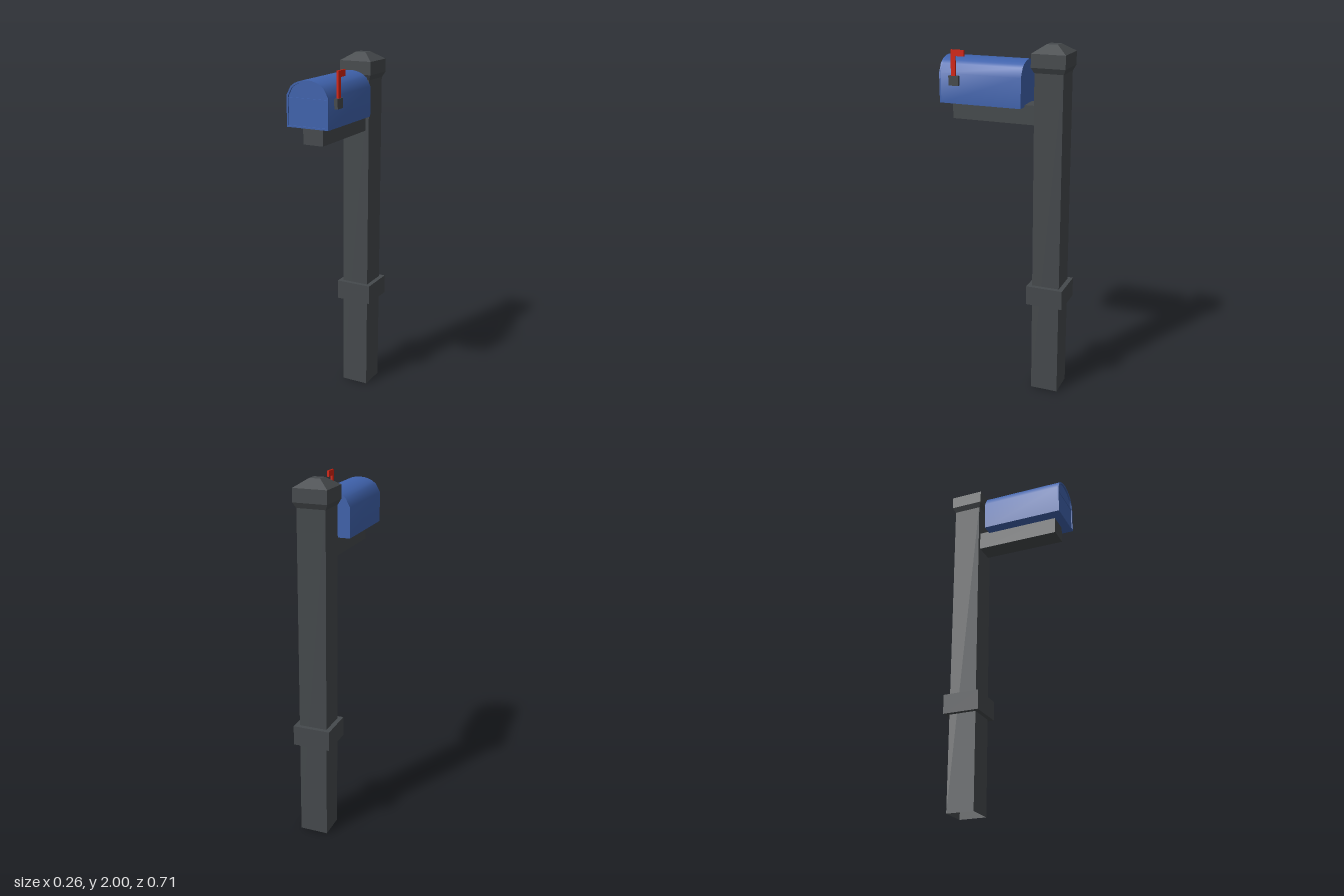
import * as THREE from 'three';
import { toCreasedNormals } from 'three/addons/utils/BufferGeometryUtils.js';

const POST_X = -0.008, POST_Z = -0.251, BOX_X = -0.011;

export function createModel() {
  const model = new THREE.Group();
  const charcoal = new THREE.MeshStandardMaterial({ color: 0x45494c, flatShading: true, side: THREE.DoubleSide });
  charcoal.name = 'charcoal';
  const blue = new THREE.MeshStandardMaterial({ color: 0x3f62ac });
  blue.name = 'blue';
  const red = new THREE.MeshStandardMaterial({ color: 0xd42310 });
  red.name = 'red';

  const add = (parent, name, geometry, material) => {
    const mesh = new THREE.Mesh(geometry, material);
    mesh.name = name;
    parent.add(mesh);
    return mesh;
  };
  // Box given by its lower and upper limits on each axis
  const block = (parent, name, [x0, x1], [y0, y1], [z0, z1], material) =>
    add(parent, name, new THREE.BoxGeometry(x1 - x0, y1 - y0, z1 - z0), material)
      .position.set((x0 + x1) / 2, (y0 + y1) / 2, (z0 + z1) / 2);
  // Square section of the post, with half widths at the bottom and top
  const section = (parent, name, y0, y1, half0, half1, open) => {
    const g = new THREE.CylinderGeometry(half1 * Math.SQRT2, half0 * Math.SQRT2, y1 - y0, 4, 1, open);
    g.rotateY(Math.PI / 4);
    add(parent, name, g, charcoal).position.set(POST_X, (y0 + y1) / 2, POST_Z);
  };

  // Post, open at the foot, with its collar and stepped cap
  const post = new THREE.Group();
  post.name = 'post';
  model.add(post);
  section(post, 'postShaft', 0, 1.87, 0.079, 0.079, true);
  section(post, 'collar', 0.545, 0.656, 0.105, 0.105, false);
  section(post, 'capFlare', 1.856, 1.885, 0.08, 0.094, true);
  section(post, 'capBlock', 1.885, 1.957, 0.094, 0.094, true);
  section(post, 'capRoof', 1.957, 2, 0.094, 0.03, false);

  // Arm that carries the box
  block(model, 'supportArm', [-0.066, 0.05], [1.575, 1.68], [-0.18, 0.305], charcoal);

  // Arched outline, drawn as half a profile and mirrored
  const arch = [[0.121, 1.67], [0.121, 1.833], [0.095, 1.88], [0.075, 1.895], [0.053, 1.905], [0.027, 1.912], [0, 1.914]];
  const outline = (inset) => {
    const midY = 1.79, sx = (0.121 - inset) / 0.121, sy = (0.122 - inset) / 0.122;
    const half = arch.map(([x, y]) => new THREE.Vector2(x * sx, midY + (y - midY) * sy));
    const mirrored = half.slice(0, -1).reverse().map((p) => new THREE.Vector2(-p.x, p.y));
    return [...half, ...mirrored];
  };
  const extrude = (shape, z0, z1) => {
    const g = new THREE.ExtrudeGeometry(shape, { depth: z1 - z0, bevelEnabled: false });
    g.translate(BOX_X, 0, z0);
    return toCreasedNormals(g, 0.7);
  };

  const mailbox = new THREE.Group();
  mailbox.name = 'mailbox';
  model.add(mailbox);
  add(mailbox, 'boxBody', extrude(new THREE.Shape(outline(0)), -0.112, 0.346), blue);
  const rim = new THREE.Shape(outline(0));
  rim.holes.push(new THREE.Path(outline(0.009).reverse()));
  add(mailbox, 'frontRim', extrude(rim, 0.346, 0.355), blue);
  // Door panel and the lip across its top
  block(mailbox, 'doorPanel', [BOX_X - 0.112, BOX_X + 0.112], [1.679, 1.812], [0.344, 0.349], blue);
  block(mailbox, 'doorLip', [BOX_X - 0.112, BOX_X + 0.112], [1.812, 1.822], [0.344, 0.352], blue);

  // Signal flag on the left side
  const flag = new THREE.Group();
  flag.name = 'signalFlag';
  model.add(flag);
  block(flag, 'flagBracket', [0.108, 0.13], [1.77, 1.822], [0.236, 0.292], charcoal);
  block(flag, 'flagStem', [0.115, 0.126], [1.81, 1.96], [0.253, 0.278], red);
  block(flag, 'flagTab', [0.115, 0.126], [1.927, 1.96], [0.202, 0.253], red);

  return model;
}
